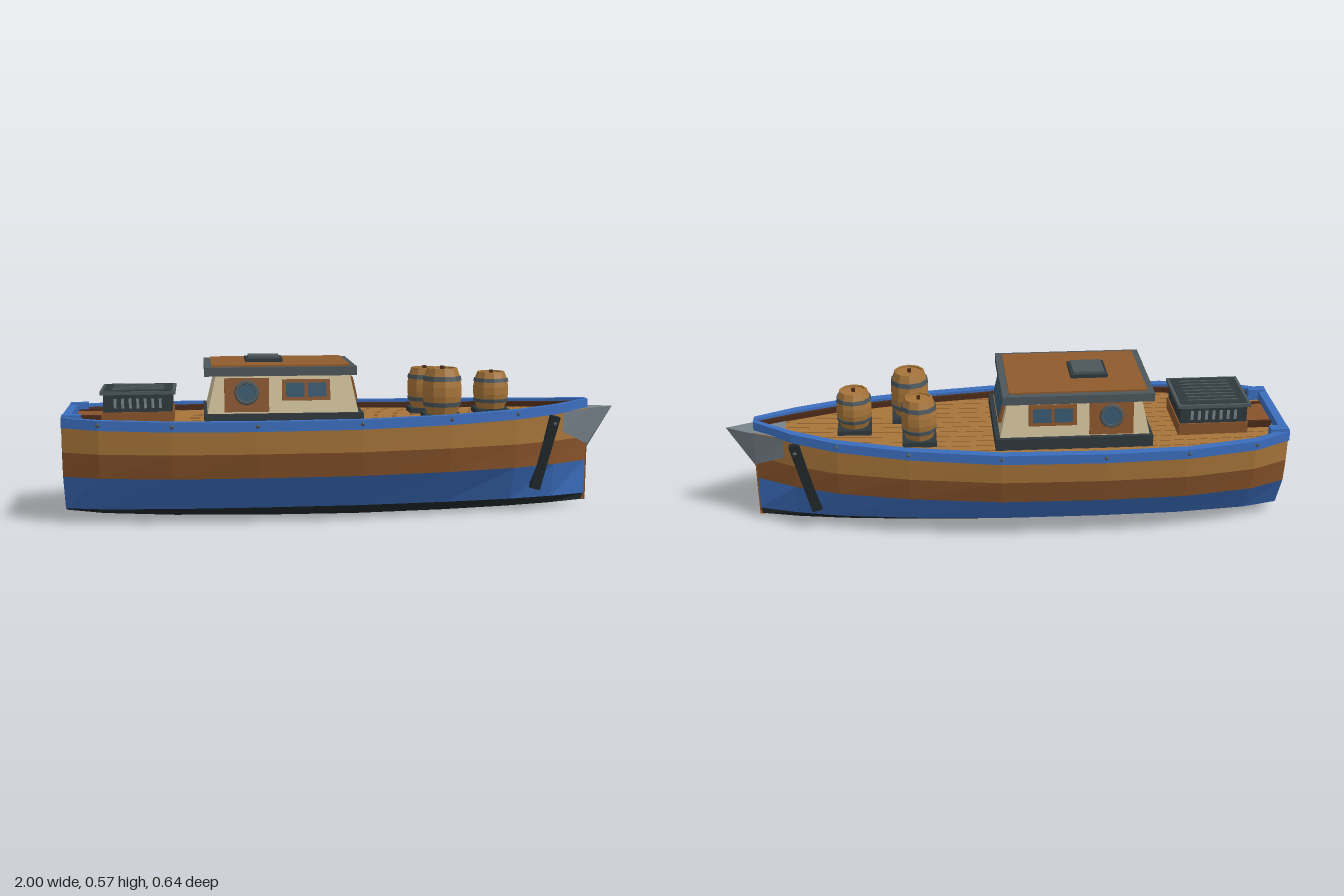
import * as THREE from 'three';

const mat = (color, side = THREE.FrontSide) => new THREE.MeshStandardMaterial({ color, flatShading: true, side });
const BLUE = mat(0x3b6dbd), OAK = mat(0xa67439), BROWN = mat(0x87532a), DARKWOOD = mat(0x4a2a18), BLACK = mat(0x20282a);
const IRON = mat(0x4b565b), CREAM = mat(0xcfc09a), GLASS = mat(0x35566b), CHAR = mat(0x2f383c), ROOF = mat(0x8f5a2c);
const STEEL = mat(0x77828a, THREE.DoubleSide), SEAM = mat(0x6d4822);

// Stations from stern to bow: x, half width at deck, rail top height, bottom height
const STATIONS = [
  [-1, 0.178, 0.38, 0.03], [-0.87, 0.242, 0.377, 0.018], [-0.62, 0.287, 0.374, 0.008], [-0.33, 0.297, 0.373, 0.002],
  [0.03, 0.288, 0.374, 0], [0.35, 0.237, 0.378, 0.004], [0.6, 0.172, 0.385, 0.01], [0.76, 0.1, 0.392, 0.015], [0.9, 0.008, 0.402, 0.022],
];

function at(x, col) {
  let i = 1;
  while (i < STATIONS.length - 1 && STATIONS[i][0] < x) i++;
  const a = STATIONS[i - 1], b = STATIONS[i];
  return THREE.MathUtils.lerp(a[col], b[col], (x - a[0]) / (b[0] - a[0]));
}

function add(parent, name, geometry, material, x = 0, y = 0, z = 0) {
  const m = new THREE.Mesh(geometry, material);
  m.name = name;
  m.position.set(x, y, z);
  parent.add(m);
  return m;
}
const box = (parent, name, material, w, h, d, x, y, z) => add(parent, name, new THREE.BoxGeometry(w, h, d), material, x, y, z);

function group(parent, name, x = 0, y = 0, z = 0) {
  const g = new THREE.Group();
  g.name = name;
  g.position.set(x, y, z);
  parent.add(g);
  return g;
}

// Surface through rows of points
function loft(rows) {
  const n = rows[0].length, index = [];
  for (let r = 0; r < rows.length - 1; r++)
    for (let i = 0; i < n - 1; i++) {
      const a = r * n + i, b = a + 1, c = a + n, d = c + 1;
      index.push(a, b, d, a, d, c);
    }
  const g = new THREE.BufferGeometry();
  g.setAttribute('position', new THREE.Float32BufferAttribute(rows.flat(2), 3));
  g.setIndex(index);
  g.computeVertexNormals();
  return g;
}

const side = (s, w, y) => STATIONS.map(st => [st[0], y(st), s * w(st)]);
// Port side to the bow, then back along the other side
const around = (w, y) => [...side(1, w, y), ...side(-1, w, y).reverse()];

// Box whose top is shrunk and shifted
function taperedBox(x0, x1, tx0, tx1, hz, thz, y0, y1) {
  const g = new THREE.BoxGeometry(1, 1, 1), p = g.attributes.position;
  for (let i = 0; i < p.count; i++) {
    const top = p.getY(i) > 0, front = p.getX(i) > 0;
    p.setXYZ(i, top ? (front ? tx1 : tx0) : (front ? x1 : x0), top ? y1 : y0, Math.sign(p.getZ(i)) * (top ? thz : hz));
  }
  g.computeVertexNormals();
  return g;
}

function buildHull(root) {
  const hull = group(root, 'hull');
  // Width fraction and height at each strake edge
  const levels = [
    [st => st[1] * 0.23, st => st[3]], [st => st[1] * 0.51, () => 0.045], [st => st[1] * 0.9, () => 0.171],
    [st => st[1] * 0.975, () => 0.258], [st => st[1], st => st[2] - 0.03],
  ];
  const rings = levels.map(([w, y]) => around(w, y));
  [['bilge', BLACK], ['lowerPaint', BLUE], ['middleStrake', BROWN], ['upperStrake', OAK]]
    .forEach(([name, m], i) => add(hull, name, loft([rings[i], rings[i + 1]]), m));
  add(hull, 'bottom', loft([side(-1, ...levels[0]), side(1, ...levels[0])]), BLACK);
  const stern = s => levels.map(([w, y]) => [-1, y(STATIONS[0]), s * w(STATIONS[0])]);
  add(hull, 'transom', loft([stern(1), stern(-1)]), DARKWOOD);

  // Rail and inner bulwark
  const inset = d => st => Math.max(0, st[1] + d), h = d => st => st[2] + d;
  const section = [[0.015, -0.034], [0.015, 0], [-0.016, 0], [-0.016, -0.034], [0.015, -0.034]];
  add(hull, 'rail', loft(section.map(([w, y]) => around(inset(w), h(y)))), BLUE);
  add(hull, 'bulwarkTrim', loft([[-0.016, -0.01], [-0.03, -0.01], [-0.03, -0.035]].map(([w, y]) => around(inset(w), h(y)))), DARKWOOD);
  box(hull, 'sternRail', BLUE, 0.03, 0.038, 0.386, -0.985, 0.364, 0);
  for (const s of [1, -1]) box(hull, 'sternCornerBlock', BLUE, 0.065, 0.042, 0.035, -0.965, 0.368, s * 0.172);

  // Deck with plank seams
  add(hull, 'deck', loft([side(1, inset(-0.01), h(-0.03)), side(-1, inset(-0.01), h(-0.03))]), OAK);
  for (let k = -6; k <= 6; k++) {
    const z = k * 0.04, xs = [];
    for (let x = -0.97; x < 0.8; x += 0.02) if (at(x, 1) - 0.03 > Math.abs(z)) xs.push(x);
    const row = d => xs.map(x => [x, at(x, 2) - 0.0285, z + d]);
    add(hull, 'plankSeam', loft([row(0.0015), row(-0.0015)]), SEAM);
  }

  // Stem post and bow plating
  add(hull, 'stemPost', taperedBox(0.885, 0.904, 0.885, 0.906, 0.004, 0.011, 0.02, 0.36), BROWN);
  const bow = group(hull, 'bowPlate');
  for (const s of [1, -1]) {
    const rows = [
      [[0.79, 0.29, s * 0.09], [0.9, 0.235, s * 0.024], [0.905, 0.215, 0]],
      [[0.79, 0.362, s * 0.098], [0.9, 0.368, s * 0.05], [1, 0.372, 0]],
    ];
    add(bow, 'bowCheek', loft(s > 0 ? rows : rows.reverse()), STEEL);
  }
  add(bow, 'bowCap', loft([[[0.79, 0.366, 0.09], [0.9, 0.37, 0.048], [1, 0.372, 0]], [[0.79, 0.366, -0.09], [0.9, 0.37, -0.048], [1, 0.372, 0]]]), STEEL);

  // Fender boards and rail bolts
  for (const s of [1, -1]) {
    const a = new THREE.Vector3(0.753, 0.352, s * 0.12), b = new THREE.Vector3(0.685, 0.085, s * 0.104);
    const board = box(hull, 'fenderBoard', BLACK, 0.036, a.distanceTo(b), 0.026, 0, 0, 0);
    board.position.lerpVectors(a, b, 0.5);
    board.quaternion.setFromUnitVectors(new THREE.Vector3(0, 1, 0), a.clone().sub(b).normalize());
    add(hull, 'fenderBolt', new THREE.OctahedronGeometry(0.009), IRON, 0.75, 0.325, s * 0.135);
    for (const x of [-0.87, -0.62, -0.33, 0.03, 0.35, 0.6])
      add(hull, 'railBolt', new THREE.OctahedronGeometry(0.009), IRON, x, at(x, 2) - 0.015, s * (at(x, 1) + 0.015));
  }
}

function framedWindow(parent, name, w, h, panes) {
  const g = group(parent, name);
  box(g, 'frame', BROWN, w, h, 0.014, 0, 0, 0);
  const pw = (w - 0.016) / panes;
  for (let i = 0; i < panes; i++)
    box(g, 'pane', GLASS, pw - 0.012, h - 0.024, 0.006, (i - (panes - 1) / 2) * pw, 0, 0.006);
  return g;
}

function buildCabin(root) {
  const cabin = group(root, 'cabin');
  box(cabin, 'plinth', CHAR, 0.555, 0.046, 0.4, -0.232, 0.363, 0);
  add(cabin, 'walls', taperedBox(-0.5, 0.03, -0.465, -0.002, 0.185, 0.164, 0.38, 0.53), CREAM);
  // Roof with rim and hatch
  box(cabin, 'roof', IRON, 0.53, 0.03, 0.404, -0.243, 0.533, 0);
  box(cabin, 'roofPanel', ROOF, 0.482, 0.012, 0.355, -0.243, 0.548, 0);
  box(cabin, 'hatch', CHAR, 0.132, 0.016, 0.132, -0.295, 0.558, 0);
  box(cabin, 'hatchLid', IRON, 0.11, 0.01, 0.11, -0.295, 0.569, 0);

  // Doors and windows on the sloping sides
  for (const s of [1, -1]) {
    const wall = group(cabin, 'sideFittings', 0, 0.45, s * 0.178);
    wall.rotation.set(-s * 0.139, 0, 0);
    box(wall, 'door', BROWN, 0.155, 0.118, 0.012, -0.362, 0, 0);
    const port = group(wall, 'porthole', -0.362, 0.008, s * 0.008);
    add(port, 'portholeRing', new THREE.TorusGeometry(0.036, 0.008, 6, 12), IRON);
    add(port, 'portholeGlass', new THREE.CylinderGeometry(0.034, 0.034, 0.008, 12), GLASS).rotation.x = Math.PI / 2;
    const win = framedWindow(wall, 'sideWindow', 0.168, 0.074, 2);
    win.position.set(-0.155, 0.016, s * 0.004);
    if (s < 0) win.rotation.y = Math.PI;
  }
  // Forward windscreen
  const front = group(cabin, 'frontFittings', 0.016, 0.462, 0);
  front.rotation.z = 0.21;
  framedWindow(front, 'windscreen', 0.27, 0.085, 3).rotation.y = Math.PI / 2;
}

function buildBarrel(root, x, z, r, h) {
  const b = group(root, 'barrel', x, at(x, 2) - 0.03, z);
  box(b, 'pad', CHAR, r * 1.85, 0.02, r * 1.85, 0, 0.008, 0);
  const bulge = t => r * (1 - 0.95 * (t - 0.5) ** 2);
  const y = t => 0.018 + t * h;
  const ts = [0, 0.2, 0.4, 0.6, 0.8, 1];
  const profile = ts.map(t => new THREE.Vector2(bulge(t), y(t)));
  profile.push(new THREE.Vector2(r * 0.66, y(1)), new THREE.Vector2(r * 0.66, y(0.96)), new THREE.Vector2(0, y(0.96)));
  add(b, 'staves', new THREE.LatheGeometry(profile, 10), OAK);
  for (const t of [0.22, 0.78]) {
    const lo = bulge(t - 0.05) + 0.003, hi = bulge(t + 0.05) + 0.003;
    add(b, 'hoop', new THREE.CylinderGeometry(hi, lo, h * 0.1, 10), IRON, 0, y(t), 0);
  }
  box(b, 'bung', DARKWOOD, 0.013, 0.012, 0.013, 0, y(1), 0);
}

function buildEngineBox(root) {
  const e = group(root, 'engineBox', -0.74, 0, 0);
  box(e, 'base', BROWN, 0.25, 0.045, 0.24, 0, 0.365, 0);
  box(e, 'casing', CHAR, 0.24, 0.07, 0.228, 0, 0.415, 0);
  box(e, 'lid', IRON, 0.262, 0.012, 0.25, 0, 0.455, 0);
  box(e, 'lidPanel', CHAR, 0.24, 0.006, 0.228, 0, 0.46, 0);
  for (let i = -3; i <= 3; i++) {
    box(e, 'lidSlat', IRON, 0.18, 0.005, 0.006, 0, 0.463, i * 0.028);
    for (const s of [1, -1]) box(e, 'sideVent', STEEL, 0.01, 0.034, 0.006, i * 0.026, 0.418, s * 0.115);
  }
  // Small bench between box and stern
  const bench = group(root, 'sternBench', -0.915, 0, 0);
  box(bench, 'seat', BROWN, 0.09, 0.014, 0.15, 0, 0.362, 0);
  for (const s of [1, -1]) box(bench, 'bearer', DARKWOOD, 0.09, 0.024, 0.012, 0, 0.362, s * 0.081);
}

export function createModel() {
  const root = new THREE.Group();
  root.name = 'boat';
  buildHull(root);
  buildCabin(root);
  buildEngineBox(root);
  buildBarrel(root, 0.34, 0.102, 0.071, 0.165);
  buildBarrel(root, 0.31, -0.1, 0.065, 0.148);
  buildBarrel(root, 0.54, 0, 0.065, 0.134);
  return root;
}
